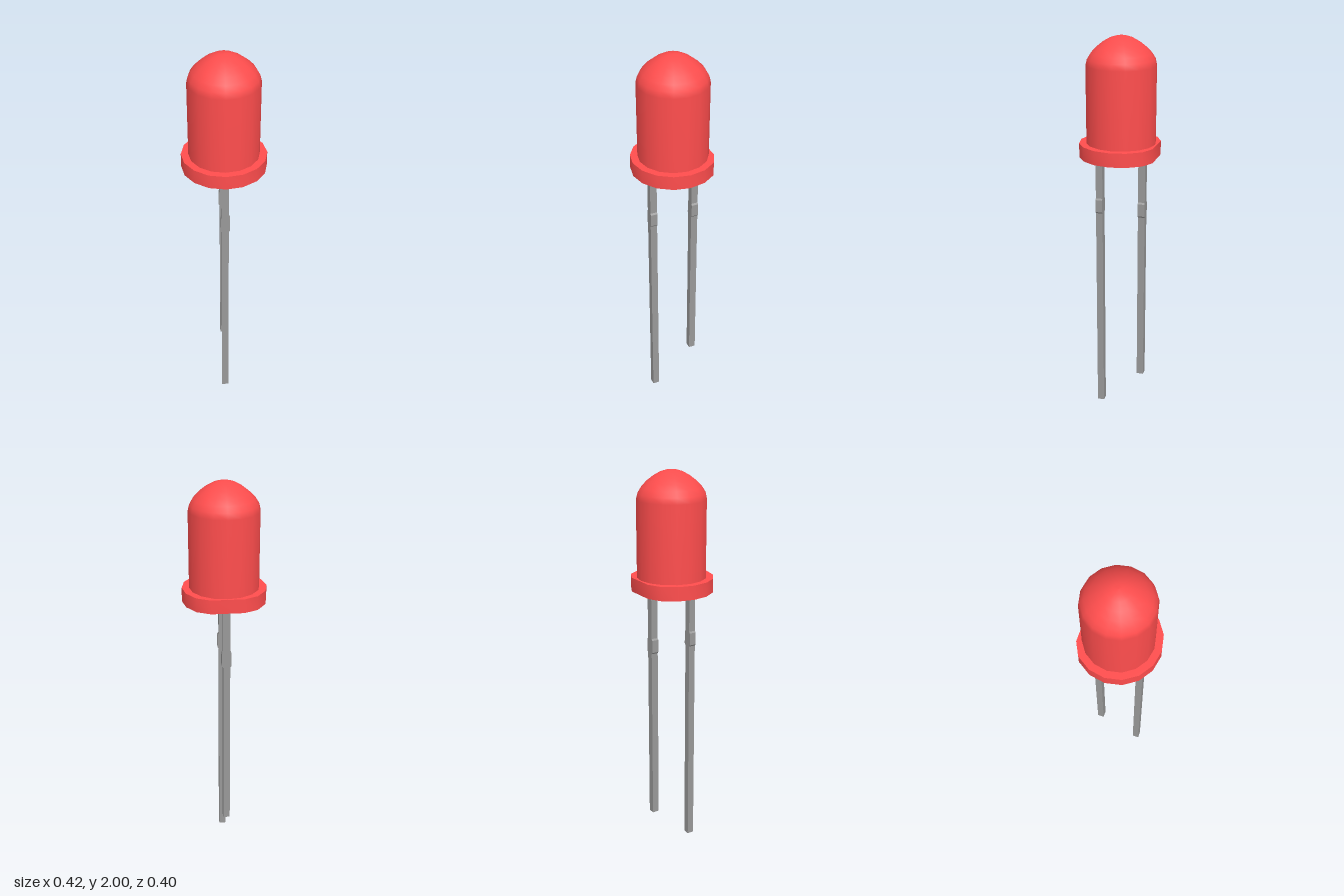
import * as THREE from 'three';
import { toCreasedNormals } from 'three/addons/utils/BufferGeometryUtils.js';

const SIDES = 16;

export function createModel() {
  const model = new THREE.Group();
  model.name = 'lightEmittingDiode';
  // The flat of the flange and the short lead lie along local +x
  model.rotation.y = THREE.MathUtils.degToRad(71.1);
  model.position.set(-0.001, 0, -0.007);

  const red = new THREE.MeshStandardMaterial({ color: 0xff4d4d });
  const metal = new THREE.MeshStandardMaterial({ color: 0x999999 });

  const add = (name, geometry, material) => {
    const mesh = new THREE.Mesh(geometry, material);
    mesh.name = name;
    model.add(mesh);
    return mesh;
  };

  // Lens: straight wall closing into a rounded dome
  const profile = [
    [0.172, 1.46], [0.172, 1.86], [0.165, 1.89], [0.148, 1.917], [0.122, 1.944],
    [0.09, 1.969], [0.055, 1.989], [0.025, 1.998], [0, 2],
  ].map(([r, y]) => new THREE.Vector2(r, y));
  add('lens', new THREE.LatheGeometry(profile, SIDES), red);

  // Flange: regular polygon cut flat on one side
  const outline = [];
  for (let k = 1; k < SIDES; k++) {
    const a = (k * 2 * Math.PI) / SIDES;
    outline.push(new THREE.Vector2(Math.min(0.208 * Math.cos(a), 0.181), 0.208 * Math.sin(a)));
  }
  const flange = new THREE.ExtrudeGeometry(new THREE.Shape(outline), { depth: 0.07, bevelEnabled: false });
  flange.rotateX(-Math.PI / 2);
  flange.translate(0, 1.41, 0);
  add('flange', toCreasedNormals(flange, Math.PI / 6), red);

  // Leads: square wire with a slightly wider stop
  const addLead = (name, x, bottom) => {
    const w = 0.0175, stop = 0.024;
    const half = [[w, bottom], [w, 1.1], [stop, 1.108], [stop, 1.172], [w, 1.18], [w, 1.42]];
    const points = [...half, ...half.map(([u, y]) => [-u, y]).reverse()]
      .map(([u, y]) => new THREE.Vector2(u, y));
    const geometry = new THREE.ExtrudeGeometry(new THREE.Shape(points), { depth: 2 * w, bevelEnabled: false });
    geometry.translate(0, 0, -w);
    geometry.rotateY(Math.PI / 2);
    add(name, geometry, metal).position.x = x;
  };
  addLead('longLead', -0.112, 0);
  addLead('shortLead', 0.11, 0.2);

  const group = new THREE.Group();
  group.add(model);
  return group;
}
